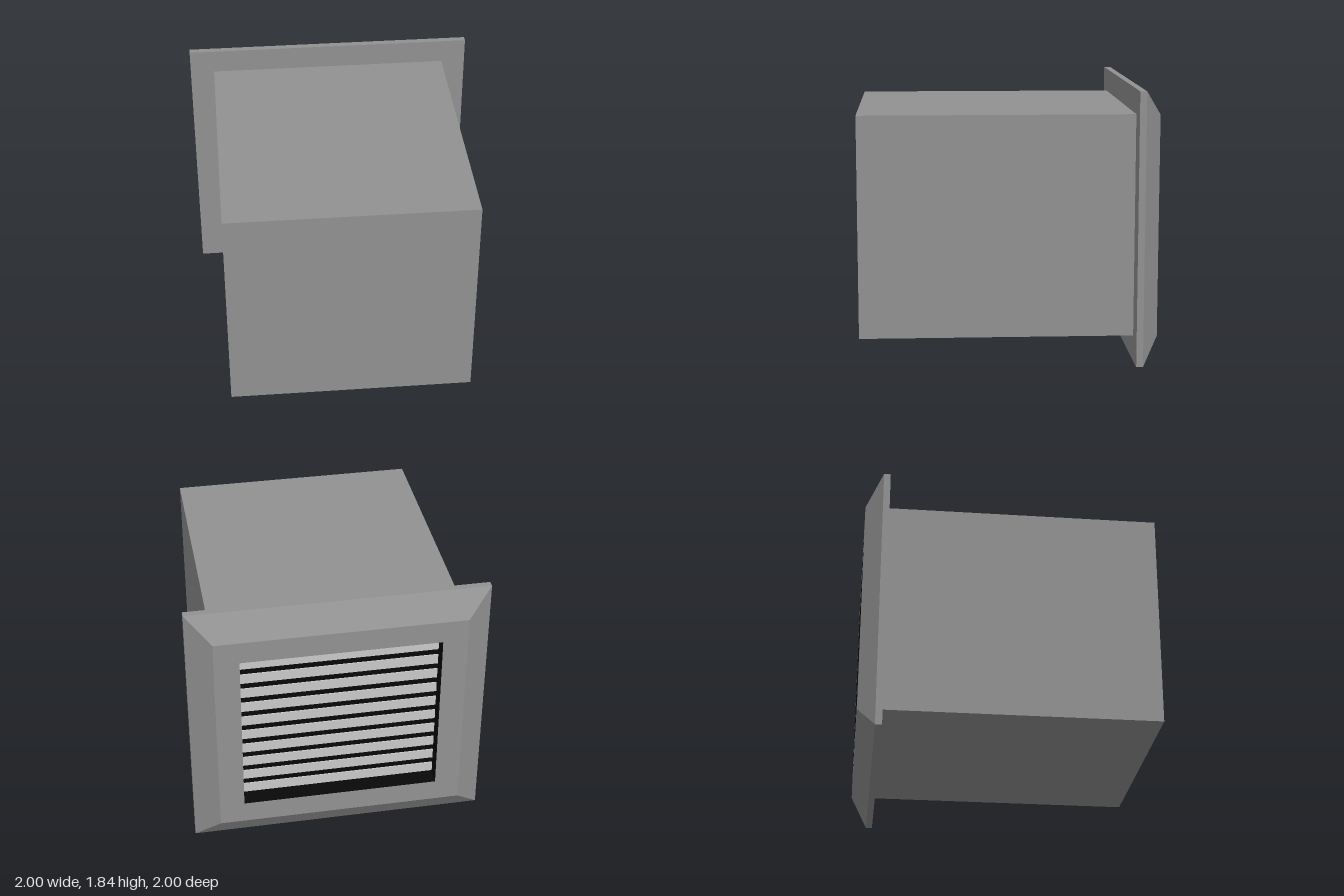
import * as THREE from 'three';

const CY = 0.918; // height of the centre line

// Surface through rectangular loops [halfWidth, halfHeight, z], flat shaded
function rectLoops(loops) {
  const rings = loops.map(([w, h, z]) =>
    [[-w, -h, z], [w, -h, z], [w, h, z], [-w, h, z]]);
  const pos = [];
  for (let i = 0; i < rings.length - 1; i++) {
    for (let k = 0; k < 4; k++) {
      const n = (k + 1) % 4;
      const a = rings[i][k], b = rings[i][n], c = rings[i + 1][n], d = rings[i + 1][k];
      pos.push(...a, ...d, ...c, ...a, ...c, ...b);
    }
  }
  const g = new THREE.BufferGeometry();
  g.setAttribute('position', new THREE.Float32BufferAttribute(pos, 3));
  g.computeVertexNormals();
  return g;
}

export function createModel() {
  const group = new THREE.Group();
  const material = (name, color) => {
    const m = new THREE.MeshStandardMaterial({ color });
    m.name = name;
    return m;
  };
  const casingGrey = material('casingGrey', 0x929292);
  const slatGrey = material('slatGrey', 0xcacaca);
  const recessBlack = material('recessBlack', 0x080808);

  const add = (name, geometry, mat, y, z = 0, parent = group) => {
    const mesh = new THREE.Mesh(geometry, mat);
    mesh.name = name;
    mesh.position.set(0, y, z);
    parent.add(mesh);
    return mesh;
  };

  const holeW = 0.665, holeH = 0.593, panelZ = -0.89;

  // Main casing
  add('casing', new THREE.BoxGeometry(1.664, 1.496, 1.84), casingGrey, CY + 0.004, 0.08);

  // Flange with bevelled rim and a rectangular opening
  add('flange', rectLoops([
    [0.8, 0.72, -0.84], [1, CY, -0.84], [1, CY, -0.885],
    [0.832, 0.748, -1], [holeW, holeH, -1],
  ]), casingGrey, CY);

  // Dark recess walls and backing
  add('recessWalls', rectLoops([[holeW, holeH, -1], [holeW, holeH, panelZ]]), recessBlack, CY);
  add('recessBacking', new THREE.BoxGeometry(holeW * 2, holeH * 2, 0.04), recessBlack, CY, panelZ + 0.02);

  // Horizontal grille slats
  const grille = new THREE.Group();
  grille.name = 'grille';
  group.add(grille);
  const slat = new THREE.BoxGeometry(holeW * 2, 0.072, 0.008);
  for (let i = 0; i < 10; i++) {
    add('slat', slat, slatGrey, 1.419 - i * 0.1157, panelZ - 0.004, grille);
  }

  return group;
}
